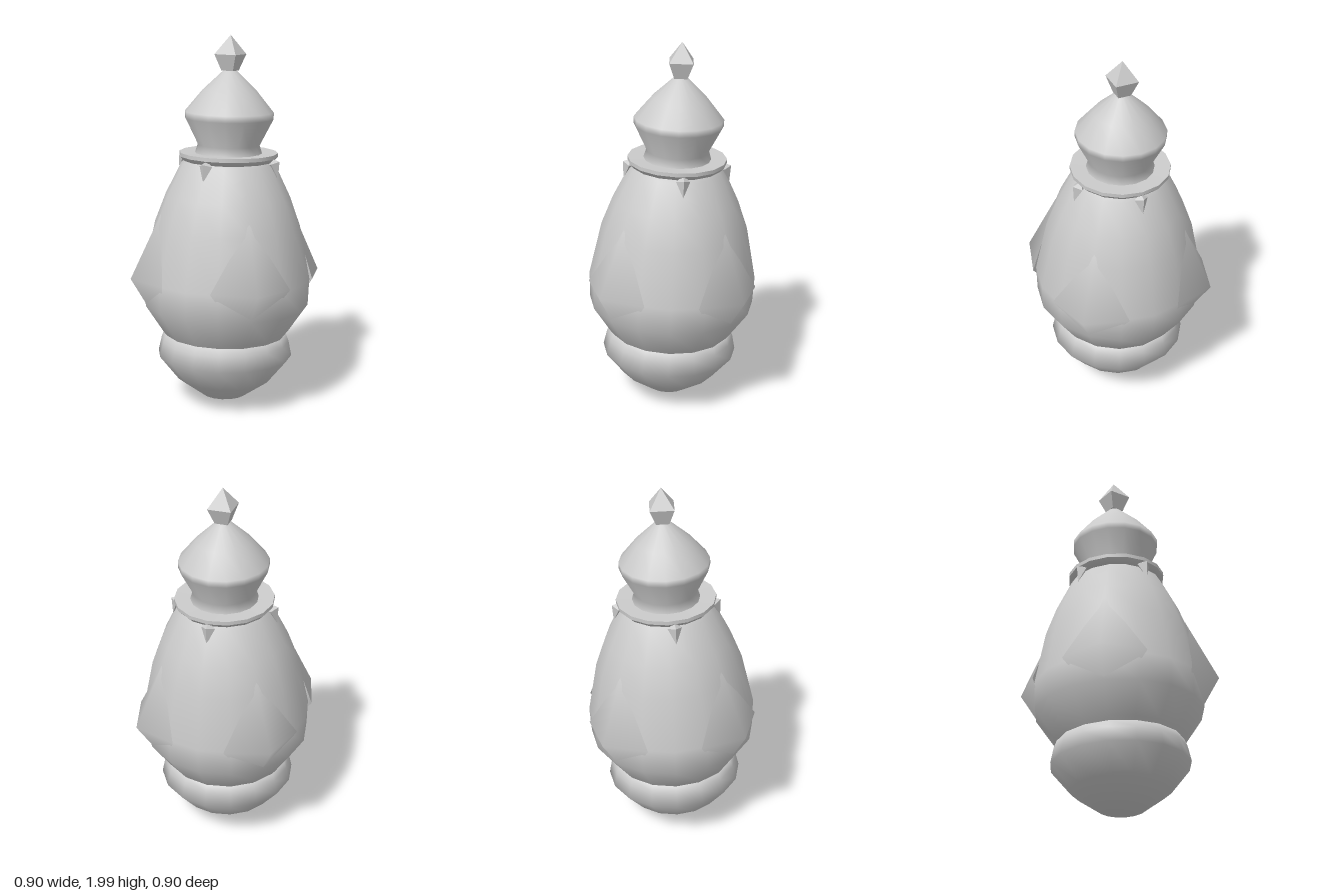
import * as THREE from 'three';

const smooth = new THREE.MeshStandardMaterial({ color: 0xcccccc, side: THREE.DoubleSide });
const faceted = new THREE.MeshStandardMaterial({ color: 0xcccccc, flatShading: true });

// Turned part: profile of [radius, y], listed from bottom to top
function turned(name, profile, sides = 16, phase = 0, material = smooth) {
  const points = profile.map(([r, y]) => new THREE.Vector2(r, y));
  const mesh = new THREE.Mesh(new THREE.LatheGeometry(points, sides, phase), material);
  mesh.name = name;
  return mesh;
}

// Raised diamond facing +z: peak, top, left, bottom and right corners
function diamondGeometry() {
  const peak = [0, 0, 0.53];
  const rim = [[0, 0.345, 0.368], [-0.216, 0, 0.414], [0, -0.29, 0.355], [0.216, 0, 0.414]];
  const geometry = new THREE.BufferGeometry();
  geometry.setAttribute('position', new THREE.Float32BufferAttribute([peak, ...rim].flat(), 3));
  geometry.setIndex([0, 1, 2, 0, 2, 3, 0, 3, 4, 0, 4, 1]);
  geometry.computeVertexNormals();
  return geometry;
}

export function createModel() {
  const model = new THREE.Group();
  model.name = 'ornament';

  // Everything leans slightly backwards about the belly
  const pivot = 0.72;
  const lean = new THREE.Group();
  lean.name = 'leaningBody';
  lean.position.y = pivot;
  lean.rotation.x = -0.04;
  const parts = new THREE.Group();
  parts.name = 'parts';
  parts.position.y = -pivot;
  lean.add(parts);
  model.add(lean);

  parts.add(
    turned('base', [[0, 0.005], [0.12, 0.045], [0.26, 0.145], [0.365, 0.275], [0.348, 0.355], [0.333, 0.395], [0.3, 0.398]]),
    turned('belly', [[0.31, 0.37], [0.345, 0.415], [0.445, 0.565], [0.45, 0.71], [0.39, 1.0], [0.333, 1.155], [0.25, 1.325], [0.2, 1.36]]),
    // The collar is three bands so that its rim stays sharp
    turned('collarUnderside', [[0.2, 1.335], [0.24, 1.342], [0.262, 1.365]]),
    turned('collarRim', [[0.262, 1.365], [0.262, 1.385]]),
    turned('collarTop', [[0.262, 1.385], [0.15, 1.38]]),
    turned('head', [[0.18, 1.375], [0.165, 1.425], [0.235, 1.565], [0.235, 1.6], [0.145, 1.71], [0.035, 1.815], [0, 1.82]]),
    // Square finial
    turned('finial', [[0, 1.81], [0.048, 1.815], [0.088, 1.9], [0, 2.0]], 4, Math.PI / 4, faceted),
  );

  // Four diamonds on the diagonals
  const diamond = diamondGeometry();
  for (let i = 0; i < 4; i++) {
    const mesh = new THREE.Mesh(diamond, smooth);
    mesh.name = 'diamond';
    mesh.position.y = pivot;
    mesh.rotation.y = Math.PI / 4 + i * Math.PI / 2;
    parts.add(mesh);
  }

  // Four small spikes hanging below the collar, the side pair set a little off axis
  for (let i = 0; i < 4; i++) {
    const holder = new THREE.Group();
    holder.name = 'spikeHolder';
    holder.rotation.y = i * Math.PI / 2 + (i % 2 ? 0.13 : 0);
    const spike = turned('spike', [[0, -0.085], [0.037, 0], [0, 0.03]], 4, 0, faceted);
    spike.position.set(0, 1.338, 0.25);
    spike.rotation.x = -0.35;
    holder.add(spike);
    parts.add(holder);
  }
  return model;
}
